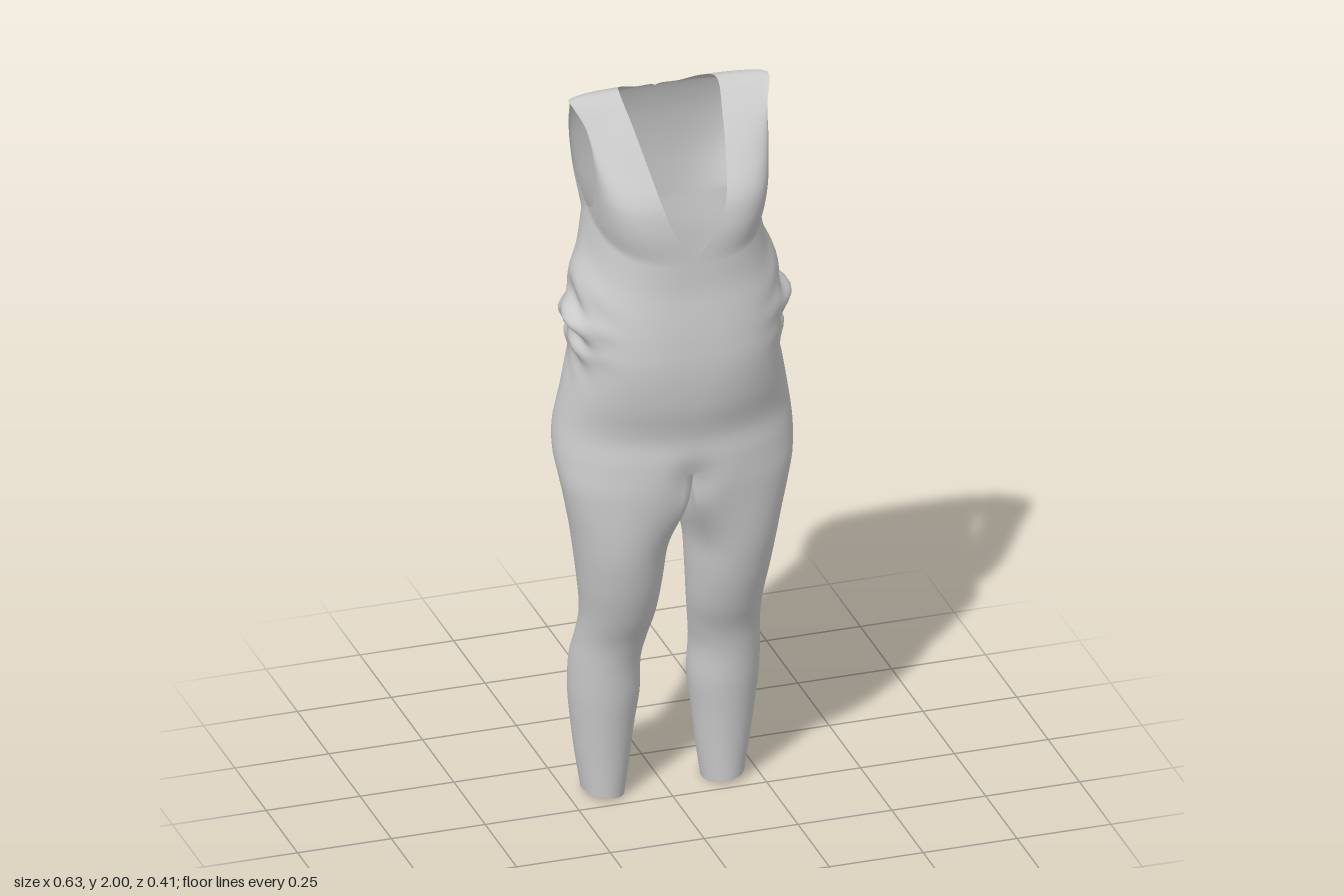
import * as THREE from 'three';
import { mergeGeometries, mergeVertices } from 'three/addons/utils/BufferGeometryUtils.js';

const { lerp, smoothstep } = THREE.MathUtils;
const PI = Math.PI;
const HALF = 48;        // columns from centre front to centre back
const INNER = 20;       // columns round the inside of a leg
const CROTCH = 1.0, UNDERARM = 1.7, HEM = 0.013;

// Body profile: height, inner x of leg, outer x, front z, back z
const PROFILE = [
  [HEM, 0.105, 0.215, -0.02, -0.15],
  [0.1, 0.092, 0.228, -0.012, -0.16],
  [0.2, 0.08, 0.24, 0, -0.17],
  [0.3, 0.067, 0.25, 0.015, -0.175],
  [0.4, 0.068, 0.25, 0.028, -0.165],
  [0.47, 0.058, 0.243, 0.045, -0.138],
  [0.55, 0.045, 0.24, 0.08, -0.115],
  [0.65, 0.035, 0.252, 0.115, -0.11],
  [0.8, 0.022, 0.275, 0.15, -0.115],
  [0.9, 0.008, 0.295, 0.17, -0.122],
  [0.96, 0, 0.307, 0.178, -0.137],
  [1.03, 0, 0.315, 0.18, -0.19],
  [1.1, 0, 0.31, 0.178, -0.21],
  [1.2, 0, 0.288, 0.2, -0.205],
  [1.3, 0, 0.265, 0.21, -0.2],
  [1.4, 0, 0.258, 0.207, -0.195],
  [1.5, 0, 0.25, 0.2, -0.19],
  [1.6, 0, 0.235, 0.192, -0.187],
  [UNDERARM, 0, 0.22, 0.19, -0.19],
];

// Smooth (Hermite) reading of the profile at any height
function profileAt(y) {
  let k = 0;
  while (k < PROFILE.length - 2 && y > PROFILE[k + 1][0]) k++;
  const a = PROFILE[k], b = PROFILE[k + 1];
  const before = PROFILE[Math.max(k - 1, 0)], after = PROFILE[Math.min(k + 2, PROFILE.length - 1)];
  const h = b[0] - a[0], t = (y - a[0]) / h;
  return [1, 2, 3, 4].map((c) => {
    const m0 = (b[c] - before[c]) / (b[0] - before[0]) * h;
    const m1 = (after[c] - a[c]) / (after[0] - a[0]) * h;
    const t2 = t * t, t3 = t2 * t;
    return (2 * t3 - 3 * t2 + 1) * a[c] + (t3 - 2 * t2 + t) * m0 + (3 * t2 - 2 * t3) * b[c] + (t3 - t2) * m1;
  });
}

const power = (v, p) => Math.sign(v) * Math.pow(Math.abs(v) < 1e-9 ? 0 : Math.abs(v), p);
const bell = (v, width) => Math.exp(-((v / width) ** 2));

// Half torso section; s runs from centre front (0) to centre back (PI)
function torsoPoint(s, y) {
  const [, xOut, zFront, zBack] = profileAt(y);
  const p = lerp(1, 0.75, smoothstep(y, 1.1, 1.35));
  const zMid = (zFront + zBack) / 2 - 0.03 * smoothstep(y, 1.4, UNDERARM);
  const c = power(Math.cos(s), p), side = power(Math.sin(s), p);
  let x = xOut * side;
  let z = zMid + (c > 0 ? zFront - zMid : zMid - zBack) * c;
  // gathered cloth at the waist
  const gather = Math.sin(s) ** 8;
  x += gather * (0.042 * bell(y - 1.42, 0.035) + 0.02 * bell(y - 1.52, 0.06) + 0.018 * bell(y - 1.34, 0.025));
  x += gather * 0.006 * Math.sin(y * 75 + z * 45) * bell(y - 1.4, 0.1);
  // hollow of the spine and seat, and the dip above the crotch
  if (c < 0) z += 0.02 * bell(x, 0.05) * smoothstep(y, 0.95, 1.08) * (1 - smoothstep(y, 1.35, 1.6));
  else z -= 0.02 * bell(x, 0.05) * bell(y - 0.97, 0.06);
  const drop = 0.09 * Math.abs(c) * smoothstep(y, 1.3, UNDERARM);
  return new THREE.Vector3(x, y - drop, z);
}

// Leg section: outer columns flow into the torso, inner ones into the crotch seam
function legPoint(column, y) {
  const [xIn, xOut, zFront, zBack] = profileAt(y);
  const open = PI / 4;
  const isOuter = column <= HALF;
  const k = isOuter ? column / HALF : (column - HALF) / INNER;
  const t = isOuter ? lerp(-open, PI + open, k) : lerp(PI + open, 2 * PI - open, k);
  const leg = new THREE.Vector3(
    (xIn + xOut) / 2 + (xOut - xIn) / 2 * Math.sin(t), y,
    (zFront + zBack) / 2 + (zFront - zBack) / 2 * Math.cos(t));
  leg.y += 0.17 * (leg.x - 0.16) * (1 - smoothstep(y, 0, 0.2));
  let target;
  if (isOuter) target = torsoPoint(k * PI, y);
  else {
    target = torsoPoint(PI, y).lerp(torsoPoint(0, y), k);
    target.x = 0;
    target.y -= 0.07 * Math.sin(PI * k);
  }
  return leg.lerp(target, smoothstep(y, 0.72, CROTCH));
}

// Neckline and armhole edges, from the front, over the shoulder, down the back
const curve = (pts) => new THREE.CatmullRomCurve3(pts.map((p) => new THREE.Vector3(...p)));
const neckEdge = curve([
  [0, 1.61, 0.19], [0.06, 1.7, 0.188], [0.085, 1.77, 0.172], [0.105, 1.86, 0.108],
  [0.12, 1.94, 0.035], [0.13, 2.0, -0.04], [0.11, 1.985, -0.095], [0.055, 1.96, -0.13],
  [0, 1.95, -0.143], [0, 1.87, -0.168], [0, 1.75, -0.185], [0, 1.61, -0.19]]);
const armEdge = curve([
  [0.22, 1.7, -0.03], [0.222, 1.72, 0.02], [0.226, 1.78, 0.05], [0.232, 1.86, 0.06],
  [0.24, 1.94, 0.035], [0.265, 1.995, -0.03], [0.25, 1.97, -0.075], [0.24, 1.94, -0.105],
  [0.235, 1.89, -0.128], [0.23, 1.83, -0.133], [0.225, 1.76, -0.11], [0.22, 1.7, -0.03]]);

function shoulderPoint(u, v) {
  const n = neckEdge.getPoint(v), a = armEdge.getPoint(v);
  const c = power(Math.cos(u * PI / 2), 0.75), s = power(Math.sin(u * PI / 2), 0.75);
  return new THREE.Vector3(
    lerp(Math.max(n.x, 0), a.x, s), lerp(a.y, n.y, c), lerp(a.z, n.z, c));
}

// Grid of points turned into triangles
function sheet(columns, rows, pointAt) {
  const positions = [], index = [];
  for (let j = 0; j <= rows; j++)
    for (let i = 0; i <= columns; i++) positions.push(...pointAt(i, j / rows).toArray());
  for (let j = 0; j < rows; j++)
    for (let i = 0; i < columns; i++) {
      const a = j * (columns + 1) + i, d = a + columns + 1;
      index.push(a, a + 1, d + 1, a, d + 1, d);
    }
  const g = new THREE.BufferGeometry();
  g.setAttribute('position', new THREE.Float32BufferAttribute(positions, 3));
  g.setIndex(index);
  return g;
}

function mirrored(geometry) {
  const g = geometry.clone().scale(-1, 1, 1);
  const ix = g.index.array;
  for (let i = 0; i < ix.length; i += 3) [ix[i + 1], ix[i + 2]] = [ix[i + 2], ix[i + 1]];
  return g;
}

export function createModel() {
  const leg = sheet(HALF + INNER, 64, (i, v) => legPoint(i, lerp(HEM, CROTCH, v)));
  const torso = sheet(HALF, 64, (i, v) => torsoPoint(i / HALF * PI, lerp(CROTCH, UNDERARM, v)));
  const shoulder = sheet(HALF / 2, 66, (i, v) => shoulderPoint(i / (HALF / 2), v));

  // Both halves are welded so the cloth shades as one piece
  const halves = [leg, torso, shoulder].flatMap((g) => [g, mirrored(g)]);
  const cloth = mergeVertices(mergeGeometries(halves), 1e-4);
  cloth.computeVertexNormals();

  const suit = new THREE.Mesh(cloth, new THREE.MeshStandardMaterial({ color: 0xcccccc, side: THREE.DoubleSide }));
  suit.name = 'sleevelessJumpsuit';
  const group = new THREE.Group();
  group.name = 'jumpsuit';
  group.add(suit);
  return group;
}
